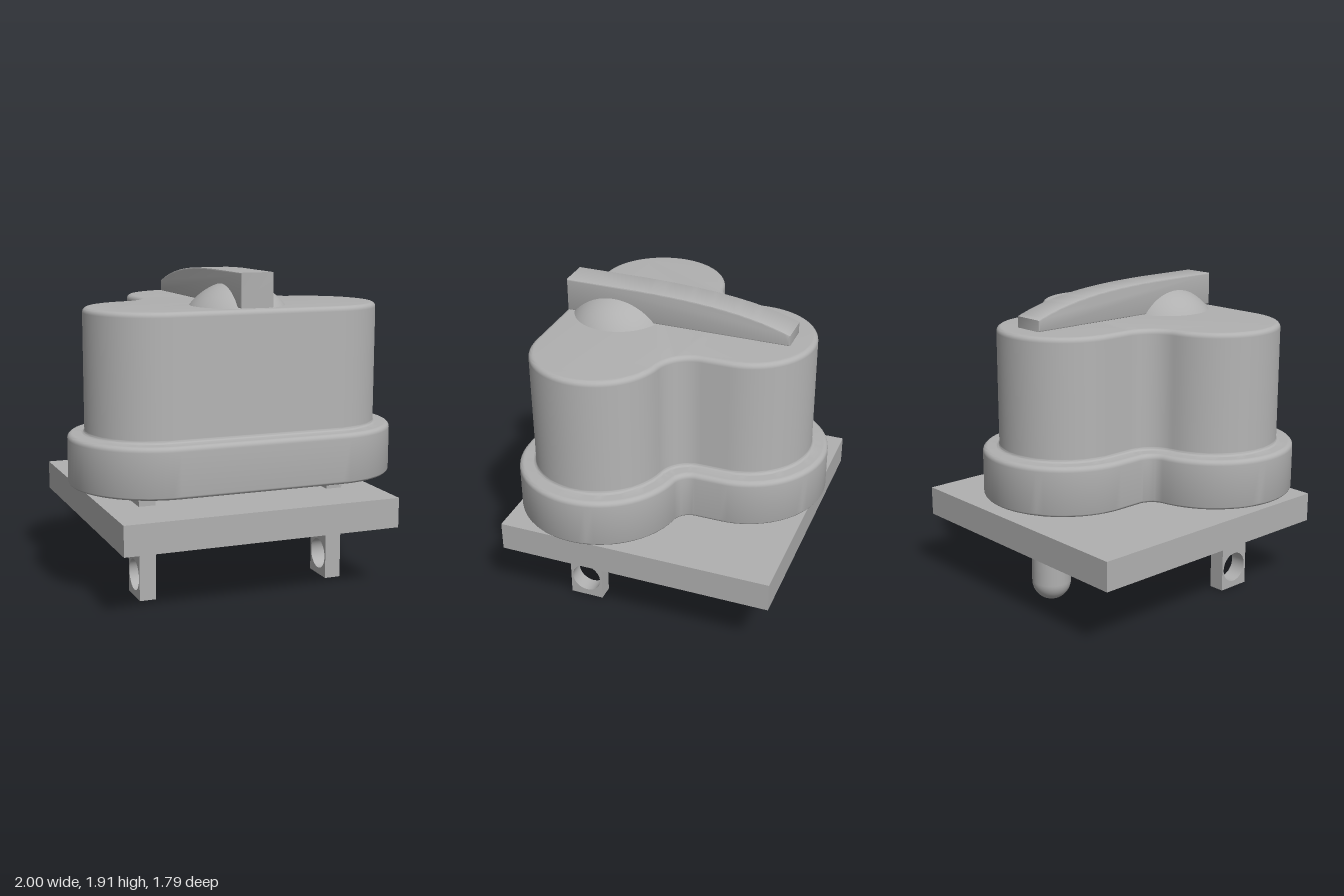
import * as THREE from 'three';
import { toCreasedNormals } from 'three/addons/utils/BufferGeometryUtils.js';

const gray = new THREE.MeshStandardMaterial({ color: 0xb0b0b0 });
gray.name = 'plain gray';

function part(name, geometry, x = 0, y = 0, z = 0) {
  const mesh = new THREE.Mesh(geometry, gray);
  mesh.name = name;
  mesh.position.set(x, y, z);
  return mesh;
}

// Three-lobed outline, moved inwards by d; v runs towards the back (v = -z)
function trefoil(d) {
  const fillet = Math.sqrt(0.35);          // height of fillet centre above side lobe centre
  const t = Math.atan2(fillet, 0.1);       // angle where lobe and fillet meet
  const arcs = [
    [0.5, -0.35, 0.5 - d, -Math.PI / 2, t, 32, 0],
    [0.6, fillet - 0.35, 0.1 + d, t + Math.PI, Math.PI, 14, 1],
    [0, 0.4, 0.5 - d, 0, Math.PI, 36, 0],
    [-0.6, fillet - 0.35, 0.1 + d, 0, -t, 14, 0],
    [-0.5, -0.35, 0.5 - d, Math.PI - t, Math.PI * 1.5, 32, 1],
  ];
  const points = [];
  for (const [cx, cv, r, a0, a1, n, first] of arcs) {
    for (let i = first; i <= n; i++) {
      const a = a0 + (a1 - a0) * i / n;
      points.push(new THREE.Vector2(cx + r * Math.cos(a), cv + r * Math.sin(a)));
    }
  }
  return points;
}

// Quarter round in the [inset, height] profile
function round(cx, cy, r, a0, a1) {
  const steps = 6;
  return Array.from({ length: steps + 1 }, (_, i) => {
    const a = (a0 + (a1 - a0) * i / steps) * Math.PI / 180;
    return [cx + r * Math.cos(a), cy + r * Math.sin(a)];
  });
}

// Stepped housing: rings of the outline stacked along a rounded profile
function housingGeometry() {
  const profile = [
    ...round(0.02, 0.70, 0.02, 270, 180),
    ...round(0.03, 0.95, 0.03, 180, 90),
    ...round(0.08, 1.00, 0.02, -90, 0),
    ...round(0.13, 1.68, 0.03, 180, 90),
  ];
  const rings = profile.map(([d]) => trefoil(d));
  const n = rings[0].length;
  const position = [];
  const index = [];
  rings.forEach((ring, k) => ring.forEach(p => position.push(p.x, profile[k][1], -p.y)));
  for (let k = 0; k < rings.length - 1; k++) {
    for (let i = 0; i < n; i++) {
      const j = (i + 1) % n;
      const a = k * n + i, b = k * n + j, c = a + n, e = b + n;
      index.push(a, b, e, a, e, c);
    }
  }
  // Flat bottom and top
  const last = (rings.length - 1) * n;
  for (const [a, b, c] of THREE.ShapeUtils.triangulateShape(rings[0], [])) index.push(a, c, b);
  for (const [a, b, c] of THREE.ShapeUtils.triangulateShape(rings[rings.length - 1], [])) {
    index.push(last + a, last + b, last + c);
  }
  const geometry = new THREE.BufferGeometry();
  geometry.setAttribute('position', new THREE.Float32BufferAttribute(position, 3));
  geometry.setIndex(index);
  return toCreasedNormals(geometry, 0.6);
}

// Extrudes a side shape (z, y) across x, centred on x = 0
function extrudeAcross(shape, width, bevel = 0) {
  const geometry = new THREE.ExtrudeGeometry(shape, {
    depth: width - 2 * bevel, curveSegments: 24,
    bevelEnabled: bevel > 0, bevelSize: bevel, bevelThickness: bevel,
    bevelOffset: -bevel, bevelSegments: 2,
  });
  geometry.translate(0, 0, bevel - width / 2);
  geometry.rotateY(-Math.PI / 2);
  return toCreasedNormals(geometry, 0.4);
}

function handleGeometry() {
  const s = new THREE.Shape();
  s.moveTo(-0.67, 1.715);
  s.lineTo(0.73, 1.715);
  s.lineTo(0.73, 1.915);
  s.lineTo(0.3, 1.914);
  s.bezierCurveTo(-0.1, 1.908, -0.42, 1.88, -0.67, 1.782);
  s.closePath();
  return extrudeAcross(s, 0.2, 0.008);
}

function bladeGeometry() {
  const s = new THREE.Shape();
  s.moveTo(0.325, 0.01);
  s.lineTo(0.535, 0.01);
  s.lineTo(0.535, 0.7);
  s.lineTo(0.325, 0.7);
  s.closePath();
  const hole = new THREE.Path();
  hole.absarc(0.43, 0.142, 0.093, 0, Math.PI * 2, true);
  s.holes.push(hole);
  return extrudeAcross(s, 0.1);
}

// Round pin with a domed tip
function pinGeometry() {
  const r = 0.12;
  const points = [];
  for (let i = 0; i <= 12; i++) {
    const a = i / 12 * Math.PI / 2;
    points.push(new THREE.Vector2(r * Math.sin(a), r - r * Math.cos(a)));
  }
  points.push(new THREE.Vector2(r, 0.7));
  return new THREE.LatheGeometry(points, 40);
}

export function createModel() {
  const model = new THREE.Group();
  model.name = 'plug';
  model.add(part('housing', housingGeometry()));
  model.add(part('handle', handleGeometry()));

  // Shallow dome: 0.28 wide at its foot, 0.14 high
  const dome = new THREE.SphereGeometry(0.35, 48, 16, 0, Math.PI * 2, 0, Math.acos(0.6));
  model.add(part('dome', dome, 0, 1.5, 0.425));

  model.add(part('plate', new THREE.BoxGeometry(1.7, 0.18, 1.71), 0, 0.488, 0.035));
  model.add(part('groundPin', pinGeometry(), 0, 0.005, -0.525));
  const blade = bladeGeometry();
  model.add(part('leftBlade', blade, 0.6), part('rightBlade', blade, -0.6));
  return model;
}
